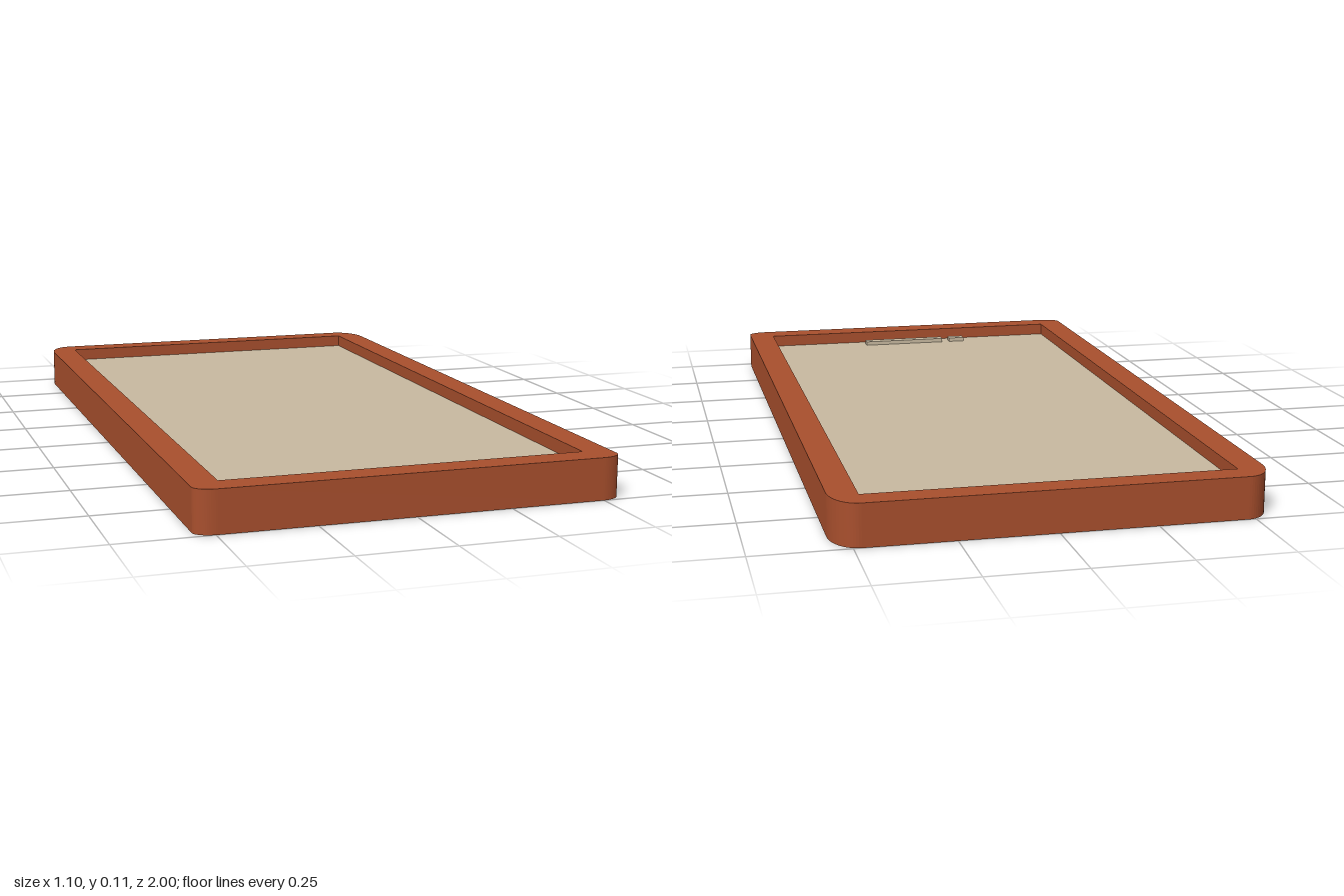
import * as THREE from 'three';

const W = 0.55, L = 1, H = 0.11;           // half width, half length, height
const IN = { x: 0.475, back: -0.93, front: 0.925 };
const PANEL_Y = 0.075;

// Outline in plan; shape y is -z, so the back is at +y
function outline() {
  const s = new THREE.Shape();
  const corner = (cx, cy, rx, ry, from) =>
    s.absellipse(cx, cy, rx, ry, from, from + Math.PI / 2, false, 0);
  const bx = 0.07, bz = 0.1, fx = 0.055, fz = 0.035;
  corner(W - bx, L - bz, bx, bz, 0);
  corner(-W + bx, L - bz, bx, bz, Math.PI / 2);
  corner(-W + fx, -L + fz, fx, fz, Math.PI);
  corner(W - fx, -L + fz, fx, fz, Math.PI * 1.5);
  s.closePath();
  return s;
}

export function createModel() {
  const model = new THREE.Group();
  model.name = 'framedPanel';
  const rust = new THREE.MeshStandardMaterial({ color: 0xa84f2d });
  rust.name = 'rust frame';
  const tan = new THREE.MeshStandardMaterial({ color: 0xc8b9a0 });
  tan.name = 'tan panel';

  const add = (name, geometry, material, x = 0, y = 0, z = 0) => {
    const mesh = new THREE.Mesh(geometry, material);
    mesh.name = name;
    mesh.position.set(x, y, z);
    model.add(mesh);
  };
  const box = (name, material, x0, x1, y0, y1, z0, z1) =>
    add(name, new THREE.BoxGeometry(x1 - x0, y1 - y0, z1 - z0), material,
      (x0 + x1) / 2, (y0 + y1) / 2, (z0 + z1) / 2);

  // Rounded frame with a rectangular opening
  const shape = outline();
  const hole = new THREE.Path();
  hole.moveTo(-IN.x, -IN.front);
  hole.lineTo(-IN.x, -IN.back);
  hole.lineTo(IN.x, -IN.back);
  hole.lineTo(IN.x, -IN.front);
  hole.closePath();
  shape.holes.push(hole);
  const frame = new THREE.ExtrudeGeometry(shape, { depth: H, bevelEnabled: false, curveSegments: 8 });
  frame.rotateX(-Math.PI / 2);
  add('frame', frame, rust);

  // Closed underside and recessed panel
  box('base', rust, -IN.x, IN.x, 0, 0.04, IN.back, IN.front);
  box('panel', tan, -IN.x, IN.x, 0.04, PANEL_Y, IN.back, IN.front);

  // Small raised bars near the front edge
  box('longBar', tan, -0.105, 0.16, PANEL_Y, PANEL_Y + 0.012, 0.87, 0.9);
  box('shortBar', tan, -0.18, -0.13, PANEL_Y, PANEL_Y + 0.012, 0.87, 0.9);

  return model;
}
